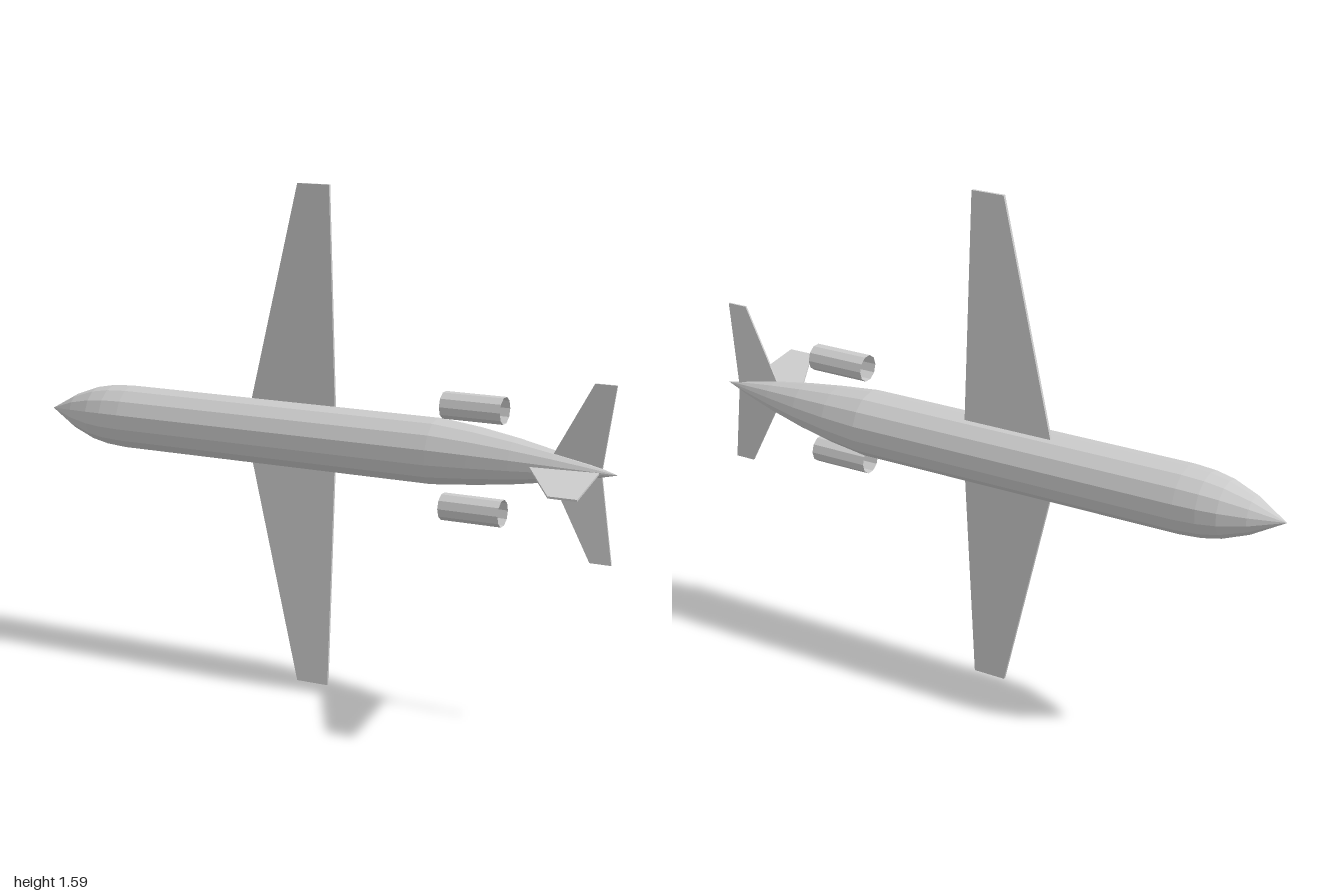
import * as THREE from 'three';

const AXIS_Y = 0.796;

function material(side = THREE.FrontSide) {
  return new THREE.MeshStandardMaterial({ color: 0xcccccc, flatShading: true, side });
}

function addMesh(group, name, geometry, side) {
  const mesh = new THREE.Mesh(geometry, material(side));
  mesh.name = name;
  group.add(mesh);
  return mesh;
}

// Tapered slab: root and tip are [leadingX, trailingX, span, z]; dir mirrors the span.
function panel(root, tip, thickness, dir = 1) {
  const geometry = new THREE.BoxGeometry(1, 1, 1);
  const p = geometry.attributes.position;
  for (let i = 0; i < p.count; i++) {
    const t = 0.5 + dir * p.getY(i);
    const [lead, trail, span, z] = root.map((v, k) => THREE.MathUtils.lerp(v, tip[k], t));
    const x = THREE.MathUtils.lerp(lead, trail, p.getX(i) + 0.5);
    p.setXYZ(i, x, dir * span, z + p.getZ(i) * thickness);
  }
  geometry.computeVertexNormals();
  return geometry;
}

// Fuselage: 14-sided lathe along x whose centreline rises towards the tail.
function fuselageGeometry() {
  const stations = [ // x, radius
    [-1, 0], [-0.9, 0.057], [-0.82, 0.087], [-0.76, 0.099], [-0.69, 0.104],
    [0.4, 0.104], [0.53, 0.09], [0.66, 0.071], [0.79, 0.047], [0.9, 0.023], [0.99, 0],
  ];
  const points = stations.map(([x, r]) => new THREE.Vector2(r, x));
  const geometry = new THREE.LatheGeometry(points, 14, Math.PI / 2);
  geometry.rotateZ(-Math.PI / 2);
  const p = geometry.attributes.position;
  for (let i = 0; i < p.count; i++) {
    const t = Math.max(0, (p.getX(i) - 0.4) / 0.59);
    p.setZ(i, p.getZ(i) - 0.143 + 0.047 * Math.pow(t, 1.5));
  }
  geometry.computeVertexNormals();
  return geometry;
}

export function createModel() {
  const model = new THREE.Group();
  model.name = 'airplane';

  addMesh(model, 'fuselage', fuselageGeometry()).position.y = AXIS_Y;

  for (const dir of [1, -1]) {
    const label = dir > 0 ? 'upper' : 'lower';

    // Main wing, swept and raised towards the tip
    const wing = panel([-0.268, 0.04, 0.05, -0.171], [-0.06, 0.048, 0.796, -0.106], 0.009, dir);
    addMesh(model, label + 'Wing', wing).position.y = AXIS_Y;

    // Horizontal stabilizer
    const stabilizer = panel([0.765, 0.937, 0, -0.107], [0.918, 0.985, 0.268, -0.079], 0.006, dir);
    addMesh(model, label + 'Stabilizer', stabilizer).position.y = AXIS_Y;

    // Open engine nacelle
    const nacelle = new THREE.CylinderGeometry(0.042, 0.042, 0.195, 10, 1, true);
    nacelle.rotateZ(-Math.PI / 2);
    addMesh(model, label + 'Engine', nacelle, THREE.DoubleSide)
      .position.set(0.538, AXIS_Y + dir * 0.157, -0.095);
  }

  // Tail fin, pointing towards +z
  const fin = panel([0.705, 0.932, -0.105, 0], [0.898, 0.985, 0.238, 0], 0.006);
  fin.rotateX(Math.PI / 2);
  addMesh(model, 'tailFin', fin).position.y = AXIS_Y;

  return model;
}
